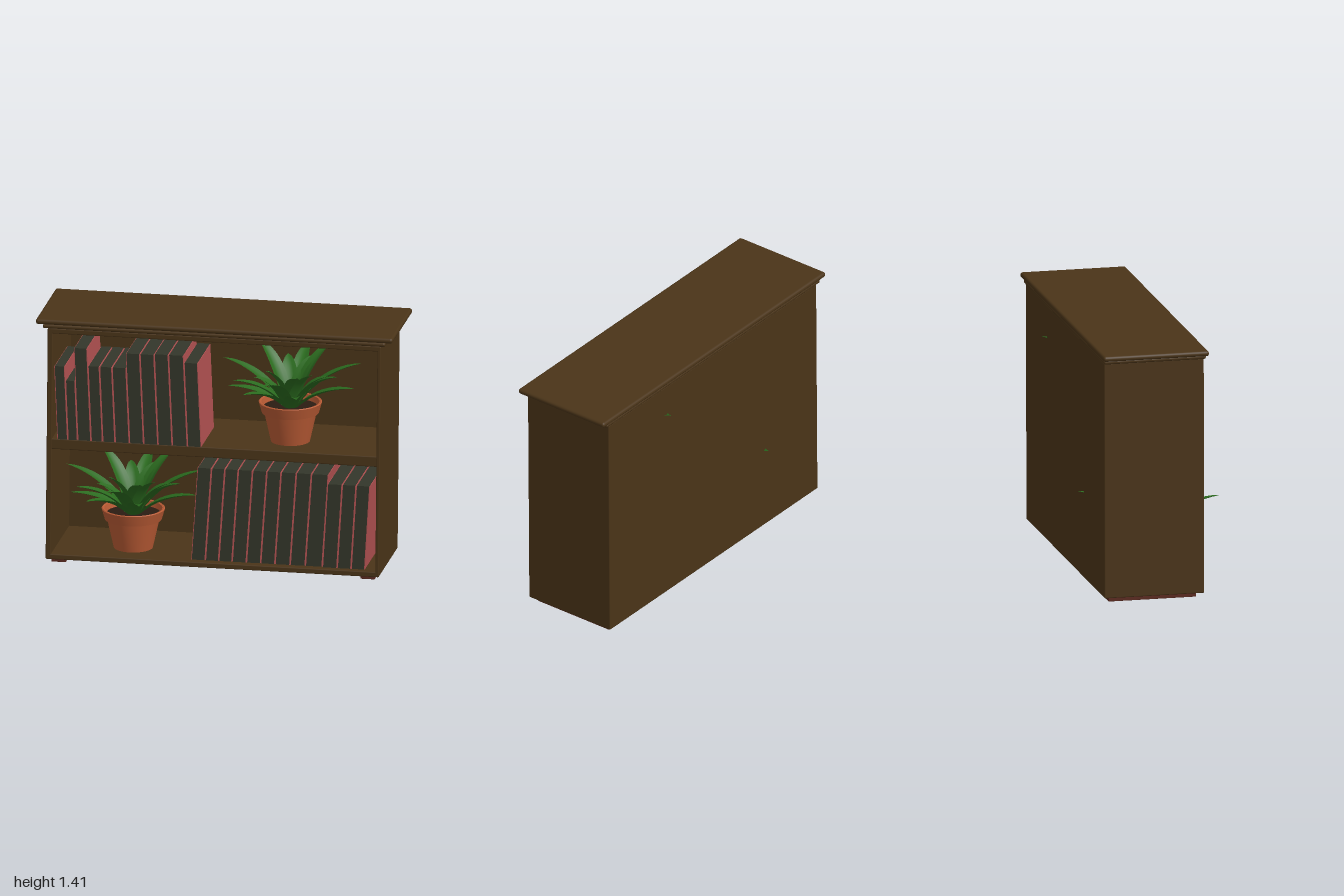
import * as THREE from 'three';
import { toCreasedNormals } from 'three/addons/utils/BufferGeometryUtils.js';
import { RoundedBoxGeometry } from 'three/addons/geometries/RoundedBoxGeometry.js';

const mat = (color, side = THREE.FrontSide) => new THREE.MeshStandardMaterial({ color, side });
const wood = mat(0x4a3418);
const footWood = mat(0x5a2a20);
const spine = mat(0x33362a);
const cover = mat(0xb05050);
const clay = mat(0xb85a34, THREE.DoubleSide);
const soil = mat(0x2a1c12);
const green = mat(0x2a6a1e, THREE.DoubleSide);

function add(parent, name, geometry, material) {
  const mesh = new THREE.Mesh(geometry, material);
  mesh.name = name;
  parent.add(mesh);
  return mesh;
}

// The old case leans a little to its left as it rises
const lean = new THREE.Matrix4().set(1, 0.009, 0, 0, 0, 1, 0, 0, 0, 0, 1, 0, 0, 0, 0, 1);

// Rounded board given by its two corners
function board(parent, name, [x0, y0, z0], [x1, y1, z1], r = 0.006, material = wood) {
  const g = new RoundedBoxGeometry(x1 - x0, y1 - y0, z1 - z0, 2, r);
  g.translate((x0 + x1) / 2, (y0 + y1) / 2, (z0 + z1) / 2);
  if (material === wood && y1 < 1.36) g.applyMatrix4(lean);
  return add(parent, name, g, material);
}

function makeCase() {
  const c = new THREE.Group();
  c.name = 'bookcase';
  const zb = -0.36, zf = 0.205;
  board(c, 'rightSide', [-0.947, 0.025, zb], [-0.917, 1.355, zf]);
  board(c, 'leftSide', [0.9, 0.025, zb], [0.92, 1.355, zf]);
  board(c, 'bottomBoard', [-0.947, 0.025, zb], [0.92, 0.055, zf]);
  board(c, 'middleShelf', [-0.93, 0.66, zb + 0.01], [0.91, 0.72, zf - 0.001]);
  board(c, 'topRail', [-0.947, 1.325, zb], [0.92, 1.355, zf]);
  board(c, 'backPanel', [-0.945, 0.027, zb], [0.918, 1.353, -0.335]);
  // Moulded cornice and top
  board(c, 'cornice', [-0.962, 1.354, -0.367], [0.957, 1.378, 0.212], 0.011);
  board(c, 'topBoard', [-1, 1.378, -0.377], [1, 1.408, 0.221], 0.014);
  // Foot runners
  for (const x of [-0.92, 0.81]) board(c, 'footRunner', [x, 0, -0.33], [x + 0.08, 0.028, 0.165], 0.002, footWood);
  return c;
}

// One book: dark block between two thin covers, slanted sideways by "tilt"
function makeBook(x0, x1, y, height, front, tilt) {
  const book = new THREE.Group();
  book.name = 'book';
  const depth = 0.38, t = 0.004, w = x1 - x0 - 0.002;
  const slant = new THREE.Matrix4().set(1, tilt, 0, 0, 0, 1, 0, 0, 0, 0, 1, 0, 0, 0, 0, 1);
  const slab = (name, a, b, inset, material) => {
    const g = new THREE.BoxGeometry(b - a, height - inset, depth - inset);
    g.translate((a + b) / 2, (height - inset) / 2, 0).applyMatrix4(slant);
    add(book, name, g, material);
  };
  slab('block', t, w - t, 0, spine);
  slab('rightCover', 0, t, 0.003, cover);
  slab('leftCover', w - t, w, 0.003, cover);
  book.position.set(x0, y, front - depth / 2);
  return book;
}

function makeBooks(name, edges, heights, y, front, tilt) {
  const row = new THREE.Group();
  row.name = name;
  heights.forEach((h, i) => row.add(makeBook(edges[i], edges[i + 1], y, h, front, tilt)));
  return row;
}

// Arching, pointed, folded leaf from the pot centre to a tip
function leafGeometry([dx, dy, dz], width) {
  const d = Math.hypot(dx, dz);
  const side = new THREE.Vector3(dz / d, 0, -dx / d);
  const curve = new THREE.QuadraticBezierCurve3(
    new THREE.Vector3(dx * 0.06, -0.05, dz * 0.06),
    new THREE.Vector3(dx * 0.42, dy * 0.72 + 0.01, dz * 0.42),
    new THREE.Vector3(dx, dy, dz));
  const g = new THREE.PlaneGeometry(2, 1, 4, 12);
  const p = g.attributes.position;
  for (let i = 0; i < p.count; i++) {
    const s = p.getX(i), t = p.getY(i) + 0.5;
    const half = width / 2 * Math.pow(Math.sin(Math.PI * (0.16 + 0.84 * t)), 0.75) + 0.001;
    const tangent = curve.getTangent(t);
    const normal = new THREE.Vector3().crossVectors(tangent, side);
    if (normal.y < 0) normal.negate();
    const v = curve.getPoint(t).addScaledVector(side, s * half)
      .addScaledVector(normal, Math.abs(s) * half * 0.35);
    p.setXYZ(i, v.x, v.y, v.z);
  }
  g.computeVertexNormals();
  return g;
}

// Leaf tips measured from the rim centre
const tips = [
  [-0.385, 0.21, -0.06], [-0.345, 0.08, 0.04], [-0.30, 0.13, 0.1], [-0.215, 0.10, 0.265],
  [-0.075, 0.195, 0.39], [0.09, 0.10, 0.3], [0.28, 0.18, 0.1], [0.37, 0.11, 0.07],
  [0.385, 0.22, -0.05], [0.205, 0.30, -0.19], [0.035, 0.235, -0.385], [-0.205, 0.295, -0.16],
];
const innerTips = [
  [-0.12, 0.19, 0.09], [0.14, 0.18, 0.1], [0.05, 0.17, 0.14], [-0.05, 0.21, -0.2],
  [0.10, 0.22, -0.17], [-0.2, 0.13, 0.02], [0.21, 0.15, 0.0],
];

function makePlant(x, floor) {
  const plant = new THREE.Group();
  plant.name = 'pottedPlant';
  const profile = [
    [0, 0], [0.108, 0], [0.145, 0.165], [0.158, 0.165], [0.175, 0.225], [0.17, 0.229],
    [0.16, 0.226], [0.148, 0.18],
  ].map(([r, y]) => new THREE.Vector2(r, y));
  add(plant, 'pot', toCreasedNormals(new THREE.LatheGeometry(profile, 40), 0.6), clay);
  add(plant, 'soil', new THREE.CylinderGeometry(0.15, 0.148, 0.01, 32), soil).position.y = 0.19;
  const leaves = new THREE.Group();
  leaves.name = 'leaves';
  leaves.position.y = 0.228;
  for (const tip of tips) add(leaves, 'outerLeaf', leafGeometry(tip, 0.085), green);
  for (const tip of innerTips) add(leaves, 'innerLeaf', leafGeometry(tip, 0.088), green);
  plant.add(leaves);
  plant.position.set(x, floor, -0.01);
  return plant;
}

export function createModel() {
  const model = new THREE.Group();
  model.name = 'bookcaseWithPlants';
  model.add(makeCase());
  model.add(makeBooks('upperBooks',
    [-0.88, -0.82, -0.765, -0.69, -0.625, -0.555, -0.475, -0.395, -0.315, -0.235, -0.15, -0.072],
    [0.42, 0.34, 0.53, 0.43, 0.43, 0.43, 0.515, 0.515, 0.52, 0.52, 0.48], 0.72, 0.207, -0.042));
  model.add(makeBooks('lowerTallBooks',
    [-0.13, -0.05, 0.025, 0.1, 0.18, 0.26, 0.34, 0.425, 0.51, 0.605],
    Array(9).fill(0.53), 0.07, 0.207, 0.066));
  model.add(makeBooks('lowerShortBooks', [0.607, 0.69, 0.768, 0.846],
    Array(3).fill(0.48), 0.07, 0.216, 0.06));
  model.add(makePlant(0.385, 0.72), makePlant(-0.495, 0.056));
  return model;
}
